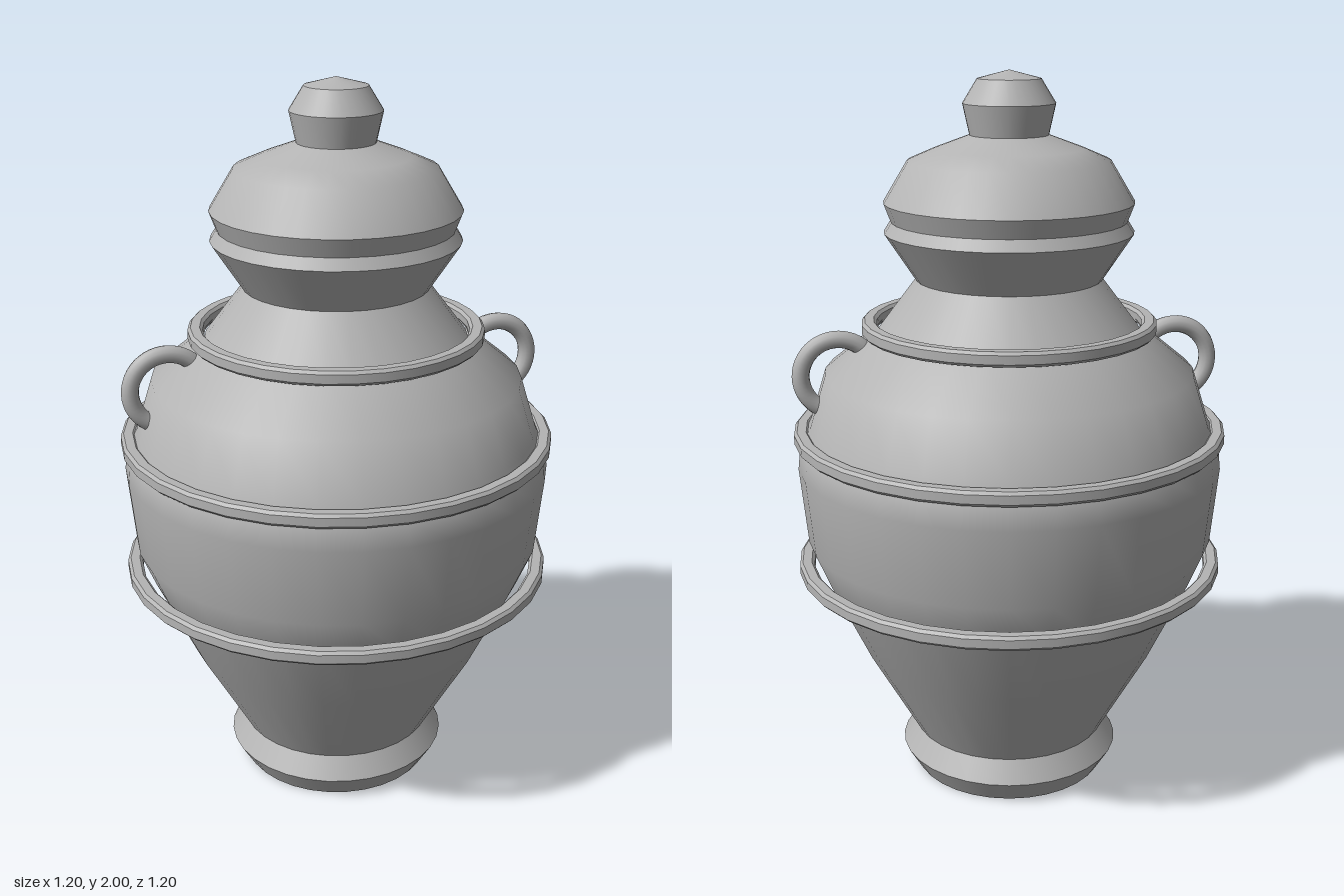
import * as THREE from 'three';

const SEGMENTS = 32;

export function createModel() {
  const urn = new THREE.Group();
  urn.name = 'liddedUrn';

  const clay = new THREE.MeshStandardMaterial({ color: 0xb4b4b4 });
  clay.name = 'grey clay';

  const add = (name, geometry) => {
    const mesh = new THREE.Mesh(geometry, clay);
    mesh.name = name;
    urn.add(mesh);
    return mesh;
  };

  // Smooth turned surface through [radius, height] points, listed bottom to top
  const turned = (name, profile) =>
    add(name, new THREE.LatheGeometry(profile.map(([r, y]) => new THREE.Vector2(r, y)), SEGMENTS));

  // Turned surface with a hard edge at every profile point
  const faceted = (name, profile) => {
    for (let i = 0; i < profile.length - 1; i++) turned(name, [profile[i], profile[i + 1]]);
  };

  // Foot with a sharp widest edge
  faceted('foot', [[0, 0], [0.275, 0], [0.314, 0.065], [0.275, 0.128]]);

  // Rounded body, then sloping shoulder and flared neck
  turned('body', [
    [0.27, 0.115], [0.421, 0.386], [0.53, 0.62], [0.571, 0.72],
    [0.592, 0.937], [0.585, 1.0], [0.556, 1.05], [0.51, 1.196], [0.36, 1.318],
  ]);
  faceted('shoulderAndNeck', [
    [0.36, 1.31], [0.254, 1.45], [0.338, 1.578], [0.318, 1.61],
  ]);

  // Domed lid
  turned('lidRim', [[0.318, 1.605], [0.338, 1.658]]);
  turned('lidDome', [[0.338, 1.658], [0.272, 1.767], [0.2, 1.798], [0.1, 1.835]]);

  // Knob on the lid
  faceted('knob', [[0.104, 1.825], [0.124, 1.915], [0.085, 1.978], [0, 2]]);

  // Bevelled bands around the body and shoulder
  const band = (name, outer, y) => {
    const inner = outer - 0.041, h = 0.02, b = 0.008;
    faceted(name, [
      [inner, y - h + b], [inner + b, y - h], [outer - b, y - h], [outer, y - h + b],
      [outer, y + h - b], [outer - b, y + h], [inner + b, y + h], [inner, y + h - b],
      [inner, y - h + b],
    ]);
  };
  band('lowerBand', 0.6, 0.638);
  band('upperBand', 0.6, 1.022);
  band('shoulderBand', 0.405, 1.321);

  // Loop handles on both sides, ends buried in the body
  for (const [name, turn] of [['leftHandle', 0], ['rightHandle', Math.PI]]) {
    const loop = new THREE.TorusGeometry(0.101, 0.024, 12, 32, Math.PI * 1.35);
    loop.rotateZ(-Math.PI * 0.5).translate(0.474, 1.198, 0).rotateY(turn);
    add(name, loop);
  }

  return urn;
}
